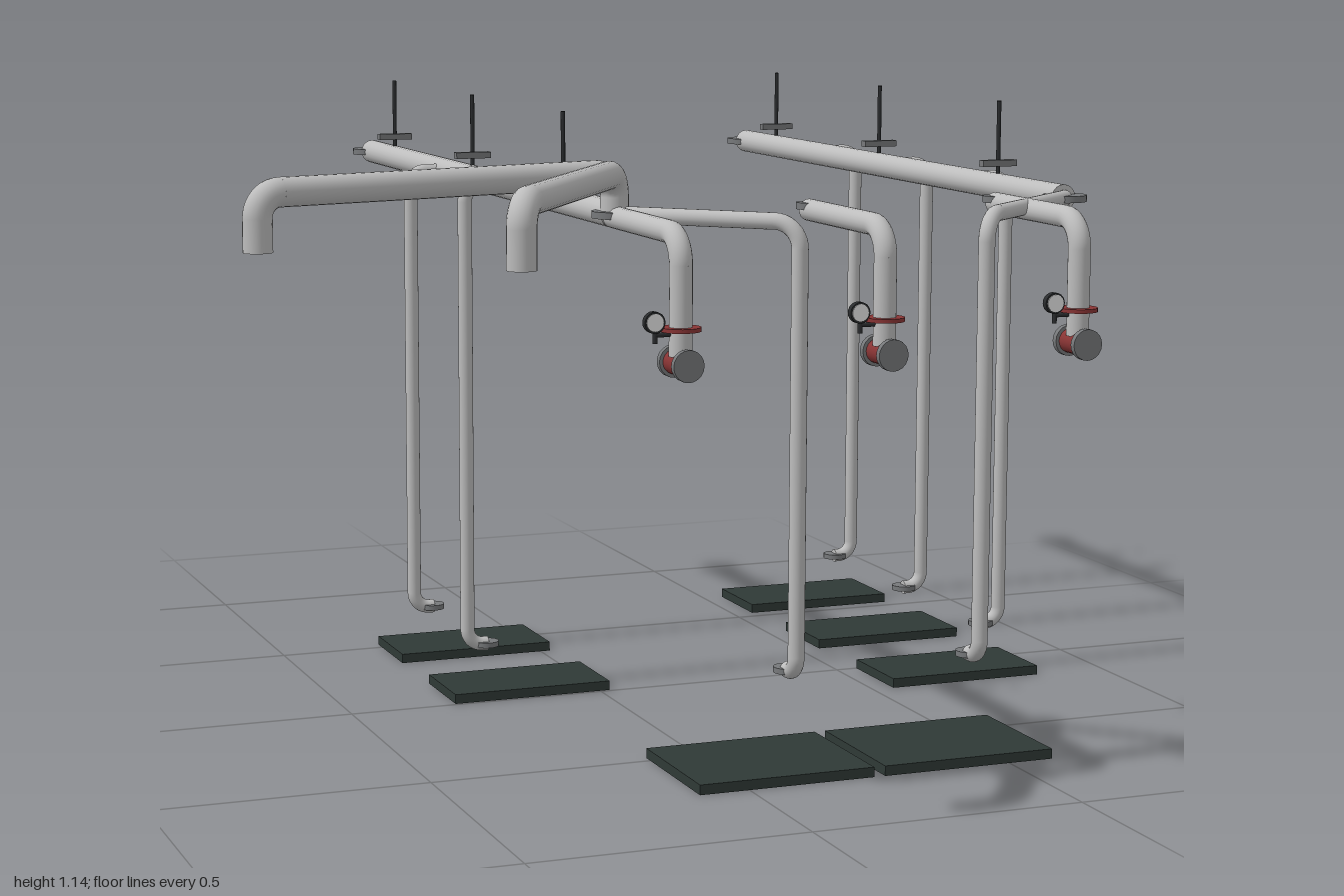
import * as THREE from 'three';

const mat = (name, color) => Object.assign(new THREE.MeshStandardMaterial({ color }), { name });

export function createModel() {
  const root = new THREE.Group();
  root.name = 'pipeNetwork';
  const steel = mat('pipe steel', 0xbdbdbd);
  const flangeGrey = mat('flange grey', 0x77797b);
  const padGreen = mat('pad dark green', 0x2f3936);
  const valveRed = mat('valve red', 0x8a3535);
  const dark = mat('rod dark', 0x2a2c2e);
  const white = mat('gauge white', 0xe6e6e6);
  const V = (x, y, z) => new THREE.Vector3(x, y, z);
  const UP = V(0, 1, 0);

  const add = (parent, name, geo, material, x = 0, y = 0, z = 0) => {
    const m = new THREE.Mesh(geo, material);
    m.name = name;
    m.position.set(x, y, z);
    parent.add(m);
    return m;
  };
  const group = (name) => {
    const g = new THREE.Group();
    g.name = name;
    root.add(g);
    return g;
  };
  // Capped cylinder between two points
  const rod = (parent, name, a, b, r, material) => {
    const d = b.clone().sub(a);
    const m = add(parent, name, new THREE.CylinderGeometry(r, r, d.length(), 20), material);
    m.position.copy(a).addScaledVector(d, 0.5);
    m.quaternion.setFromUnitVectors(UP, d.normalize());
  };
  // Pipe run through points, with a rounded elbow at each inner corner
  const pipe = (name, pts, r, bend) => {
    const g = group(name);
    let start = pts[0];
    for (let i = 1; i < pts.length; i++) {
      const p = pts[i], next = pts[i + 1];
      if (!next) { rod(g, 'straight', start, p, r, steel); break; }
      const inDir = p.clone().sub(pts[i - 1]);
      const outDir = next.clone().sub(p);
      const b = Math.min(bend, inDir.length() * 0.8, outDir.length() * 0.8);
      const a = p.clone().addScaledVector(inDir.normalize(), -b);
      const c = p.clone().addScaledVector(outDir.normalize(), b);
      rod(g, 'straight', start, a, r, steel);
      const k = 0.552;
      const curve = new THREE.CubicBezierCurve3(a, a.clone().lerp(p, k), c.clone().lerp(p, k), c);
      add(g, 'elbow', new THREE.TubeGeometry(curve, 10, r, 20), steel);
      start = c;
    }
    return g;
  };
  const flange = (parent, name, x, y, z, r, h = 0.012) =>
    add(parent, name, new THREE.CylinderGeometry(r, r, h, 24), flangeGrey, x, y, z);

  // Two main headers with end flanges and hangers
  for (const x of [-0.17, 0.7]) {
    const main = pipe('mainPipe', [V(x, 0.98, 0.52), V(x, 0.98, -0.955)], 0.024, 0);
    for (const z of [0.525, -0.96]) flange(main, 'endFlange', x, 0.98, z, 0.04);
    for (const z of [0.263, -0.26, -0.785]) {
      add(main, 'hangerClamp', new THREE.BoxGeometry(0.07, 0.012, 0.018), flangeGrey, x, 1.023, z);
      rod(main, 'hangerRod', V(x, 1.0, z), V(x, 1.14, z), 0.004, dark);
    }
  }

  // Side drops: out, down, and a short foot turned back inward
  const drops = [[-0.17, -1, [-0.435, -0.085]], [0.7, 1, [-0.61, -0.263, 0.087]]];
  for (const [x, s, zs] of drops) for (const z of zs) {
    const ox = s < 0 ? -0.243 : 0.81;
    const g = pipe('sideDrop', [V(x, 0.98, z), V(ox, 0.98, z), V(ox, 0.094, z), V(ox - s * 0.04, 0.094, z)], 0.0135, 0.03);
    flange(g, 'footFlange', ox - s * 0.038, 0.094, z, 0.024, 0.01);
  }

  // Diagonal front drops
  for (const [x, ox] of [[-0.17, 0.073], [0.7, 0.422]]) {
    const g = pipe('frontDrop', [V(x, 0.98, 0.525), V(ox, 0.98, 0.762), V(ox, 0.205, 0.762), V(ox, 0.205, 0.725)], 0.0145, 0.045);
    flange(g, 'footFlange', ox, 0.205, 0.724, 0.024, 0.01);
  }

  // Large raised arms
  for (const [x, z, y] of [[-0.837, 0.68, 0.955], [-0.494, 0.98, 0.945]])
    pipe('raisedArm', [V(-0.17, 0.98, 0.525), V(-0.17, 1.05, 0.525), V(x, 1.05, z), V(x, y, z)], 0.0245, 0.04);

  // Valve outlets with couplings, hydrant bodies and gauges
  for (const x of [-0.17, 0.197, 0.562]) {
    const z = 0.833;
    const g = pipe('valveOutlet', [V(x, 0.975, 0.52), V(x, 0.975, z), V(x, 0.775, z)], 0.0195, 0.05);
    if (x > 0) flange(g, 'startFlange', x, 0.983, 0.525, 0.025);
    add(g, 'redCoupling', new THREE.CylinderGeometry(0.034, 0.034, 0.007, 24), valveRed, x, 0.82, z);
    rod(g, 'valveBody', V(x, 0.763, z - 0.031), V(x, 0.763, z + 0.031), 0.021, valveRed);
    for (const s of [-1, 1])
      rod(g, 'valveCap', V(x, 0.763, z + s * 0.026), V(x, 0.763, z + s * 0.038), 0.027, flangeGrey);
    rod(g, 'gaugeStem', V(x, 0.812, z), V(x - 0.045, 0.812, z), 0.004, dark);
    rod(g, 'gaugePost', V(x - 0.045, 0.798, z), V(x - 0.045, 0.825, z), 0.004, dark);
    rod(g, 'gaugeCase', V(x - 0.047, 0.833, z - 0.006), V(x - 0.047, 0.833, z + 0.006), 0.018, dark);
    rod(g, 'gaugeFace', V(x - 0.047, 0.833, z + 0.004), V(x - 0.047, 0.833, z + 0.008), 0.015, white);
  }

  // Floor pads: centre x, centre z, width, depth
  const pads = [
    [-0.137, -0.439, 0.313, 0.17], [-0.137, -0.09, 0.313, 0.17],
    [0.699, -0.615, 0.313, 0.17], [0.699, -0.265, 0.313, 0.17], [0.699, 0.086, 0.313, 0.17],
    [0.072, 0.608, 0.328, 0.255], [0.421, 0.608, 0.328, 0.255],
  ];
  for (const [x, z, w, d] of pads)
    add(root, 'floorPad', new THREE.BoxGeometry(w, 0.018, d), padGreen, x, 0.009, z);

  return root;
}
